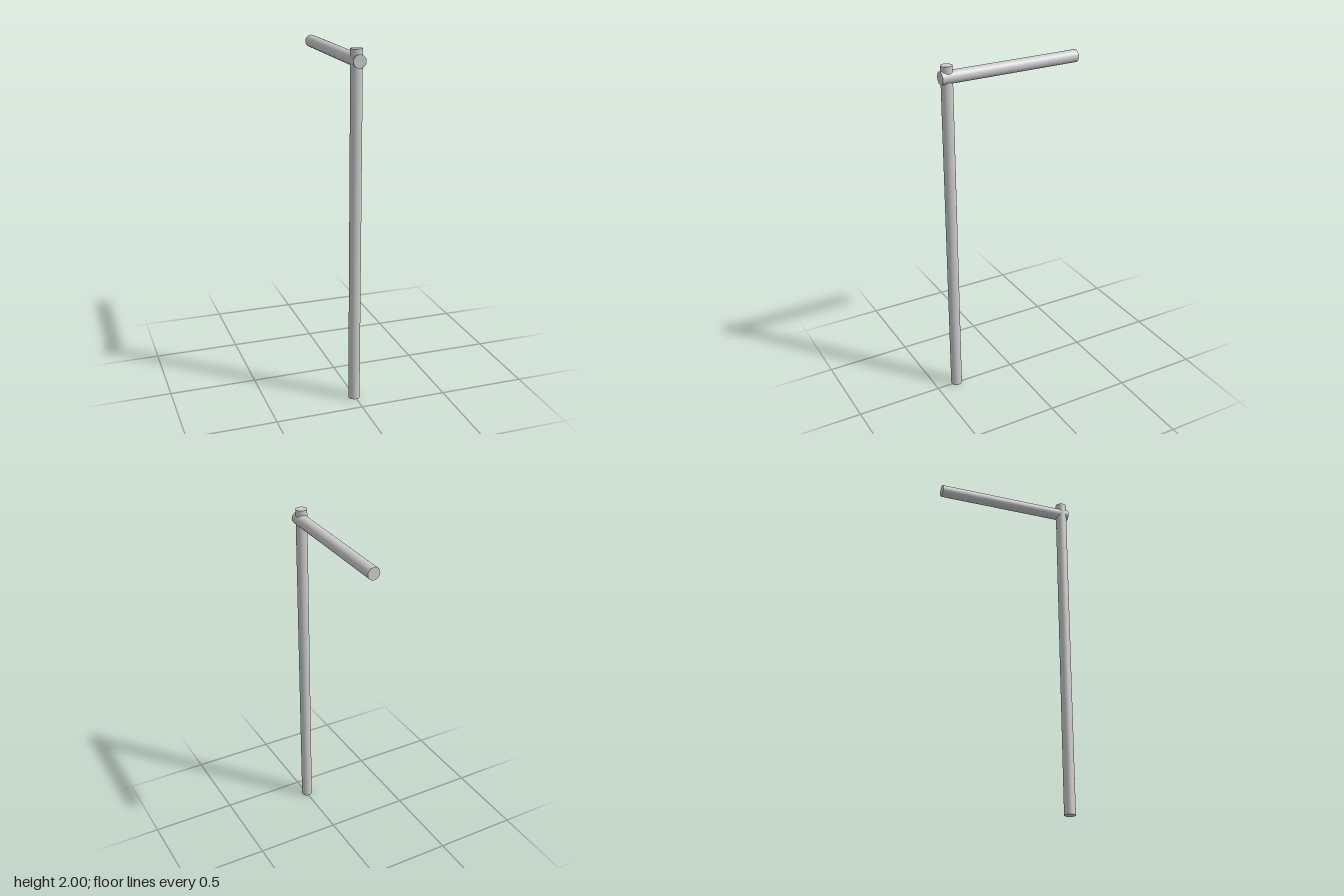
import * as THREE from 'three';

export function createModel() {
  const group = new THREE.Group();
  const material = new THREE.MeshStandardMaterial({ color: 0xcccccc });

  const addRod = (name, radius, length, x, y, z) => {
    const mesh = new THREE.Mesh(new THREE.CylinderGeometry(radius, radius, length, 48), material);
    mesh.name = name;
    mesh.position.set(x, y, z);
    group.add(mesh);
    return mesh;
  };

  // Upright post
  addRod('post', 0.0325, 2, -0.005, 1, 0.374);

  // Horizontal arm passing through the post near its top
  addRod('arm', 0.0355, 0.828, 0, 1.937, 0).rotation.x = Math.PI / 2;

  return group;
}
